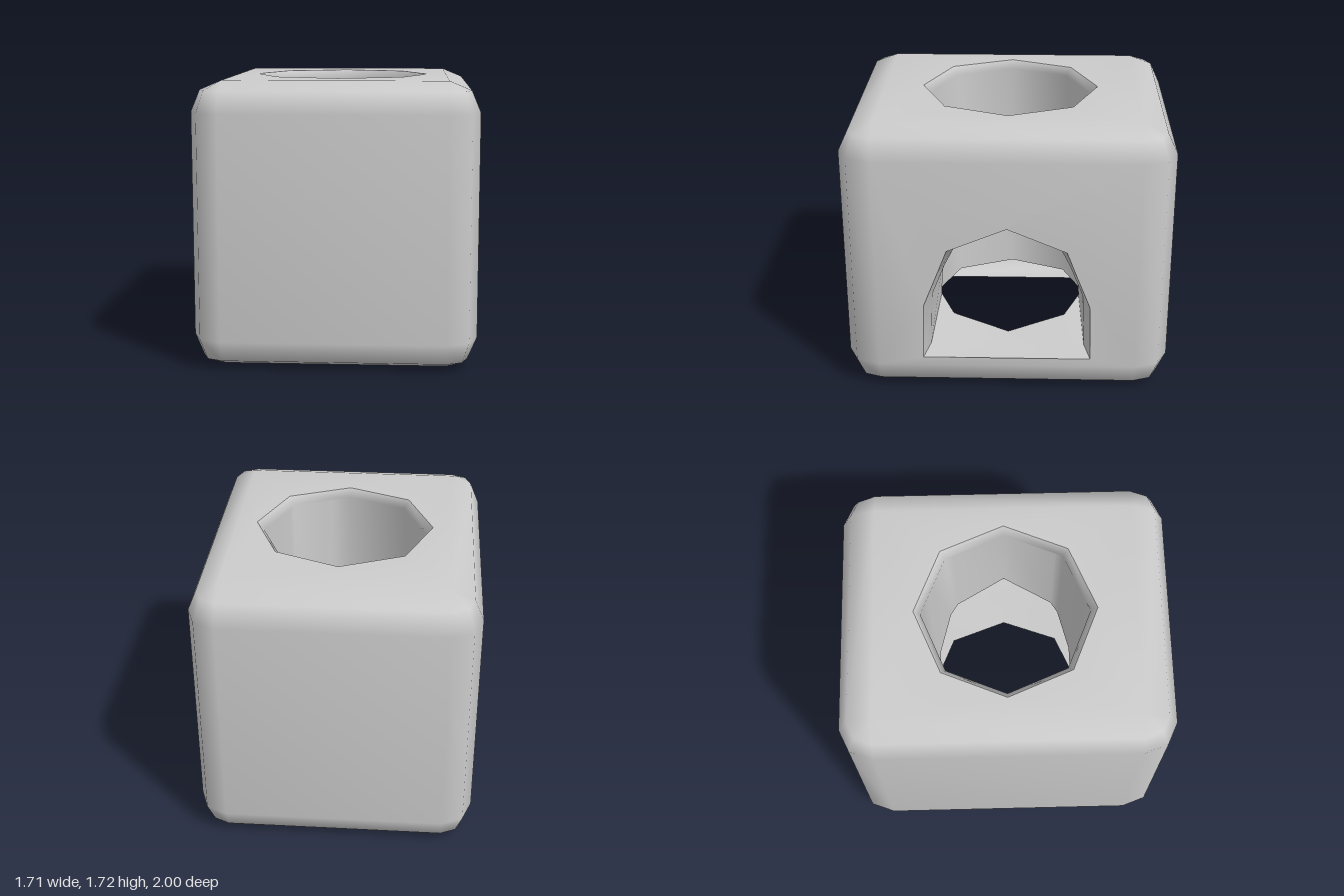
import * as THREE from 'three';
import { mergeGeometries, mergeVertices } from 'three/addons/utils/BufferGeometryUtils.js';

const H = 1.72;                   // block height
const CX = 0.67, CZ = 0.79;       // centres of the rounded corners
const BX = 0.185, BZ = 0.21;      // corner rounding
const R = 0.51, C = R * Math.SQRT1_2; // octagonal shaft
const FACE = CX + BX;

// Grid surface through rows of [x, y, z] points
function surface(rows, skip = () => false) {
  const pos = [], index = [], n = rows[0].length;
  rows.forEach(row => row.forEach(p => pos.push(...p)));
  for (let i = 0; i < rows.length - 1; i++) {
    for (let j = 0; j < n - 1; j++) {
      if (skip(i, j)) continue;
      const a = i * n + j, b = a + n;
      index.push(a, b, b + 1, a, b + 1, a + 1);
    }
  }
  const g = new THREE.BufferGeometry();
  g.setAttribute('position', new THREE.Float32BufferAttribute(pos, 3));
  g.setIndex(index);
  return g;
}

// Flat rectangle with a hole
function panel(w, y0, y1, hole) {
  const s = new THREE.Shape([[-w, y0], [w, y0], [w, y1], [-w, y1]].map(p => new THREE.Vector2(...p)));
  s.holes.push(new THREE.Path(hole.map(p => new THREE.Vector2(...p))));
  return new THREE.ShapeGeometry(s);
}

// Join pieces with shared, smooth normals
function smooth(parts) {
  parts.forEach(g => { g.deleteAttribute('normal'); g.deleteAttribute('uv'); });
  const g = mergeVertices(mergeGeometries(parts), 1e-4);
  g.computeVertexNormals();
  return g;
}

// Half outline [z, y] listed from +z to the middle, completed by mirroring
const mirror = half => [...half, ...half.slice(0, -1).reverse().map(([z, y]) => [-z, y])];

// Distance of the shaft wall from the centre at a given z
function shaftX(z) {
  const a = Math.abs(z);
  return a < C ? R - (R - C) * a / C : (R - a) * C / (R - C);
}

const octagon = (r, y) => Array.from({ length: 9 }, (_, i) => {
  const a = i * Math.PI / 4;
  return [r * Math.cos(a), y, r * Math.sin(a)];
});

export function createModel() {
  const group = new THREE.Group();
  const material = new THREE.MeshStandardMaterial({ color: 0xcccccc, side: THREE.DoubleSide });
  const add = (name, geometry) => {
    const m = new THREE.Mesh(geometry, material);
    m.name = name;
    group.add(m);
  };

  // Arch outlines: at the face, just inside, and where the tunnel meets the shaft
  const archOuter = mirror([[0.515, 0.24], [0.505, 0.6], [0.414, 0.83], [0.36, 0.97], [0, 1.12]]);
  const archMid = mirror([[0.48, 0.25], [0.465, 0.6], [0.385, 0.8], [0.325, 0.92], [0, 1.05]]);
  const archInner = mirror([[0.46, 0.29], [0.44, 0.58], [C, 0.777], [0.31, 0.9], [0, 1.02]]);

  // Outer block with rounded edges, open underneath
  const levels = [[0, 0], [0.055, Math.SQRT1_2], [0.185, 1], [H - 0.185, 1], [H - 0.055, Math.SQRT1_2], [H, 0]];
  const rings = levels.map(([y, r]) => {
    const ring = [];
    [[1, 1], [-1, 1], [-1, -1], [1, -1]].forEach(([sx, sz], k) => {
      for (let s = 0; s < 3; s++) {
        const a = k * Math.PI / 2 + s * Math.PI / 4;
        ring.push([sx * CX + BX * r * Math.cos(a), y, sz * CZ + BZ * r * Math.sin(a)]);
      }
    });
    return [...ring, ring[0]];
  });
  const shell = surface(rings, (i, j) => i === 2 && j === 11);
  const topPanel = panel(CX, -CZ, CZ, octagon(0.55, 0).slice(0, 8).map(p => [p[0], p[2]]));
  topPanel.rotateX(-Math.PI / 2).translate(0, H, 0);
  const sidePanel = panel(CZ, 0.185, H - 0.185, archOuter);
  sidePanel.rotateY(Math.PI / 2).translate(FACE, 0, 0);
  add('outerBlock', smooth([shell, topPanel, sidePanel]));

  // Vertical shaft: softened rim, then a wall cut away above the arch
  const rimY = H - 0.05;
  const rim = surface([octagon(0.55, H), octagon(R, rimY)]);
  const front = [[R, 0.23], ...archInner, [-R, 0.23]].reverse().map(([z, y]) => [shaftX(z), y, z]);
  const back = octagon(R, 0.23).slice(3, 7);
  const lower = [...front, ...back];
  const wall = surface([lower.map(([x, , z]) => [x, rimY, z]), lower]);
  add('shaft', smooth([rim, wall]));

  // Arched tunnel from the side into the shaft
  const tunnel = surface([
    archOuter.map(([z, y]) => [FACE, y, z]),
    archMid.map(([z, y]) => [0.7, y, z]),
    archInner.map(([z, y]) => [shaftX(z), y, z]),
  ]);
  add('archTunnel', smooth([tunnel]));

  // Tunnel floor, rising a little towards its inner corners
  const floorRow = (half, x) => mirror(half).reverse().map(([z, y]) => [x(z), y, z]);
  const floor = surface([
    floorRow([[0.515, 0.24], [0.4, 0.238], [0, 0.23]], () => FACE),
    floorRow([[0.48, 0.25], [0.375, 0.245], [0, 0.23]], () => 0.7),
    floorRow([[0.46, 0.29], [C, 0.275], [0, 0.23]], shaftX),
  ]);
  add('tunnelFloor', smooth([floor]));

  return group;
}
